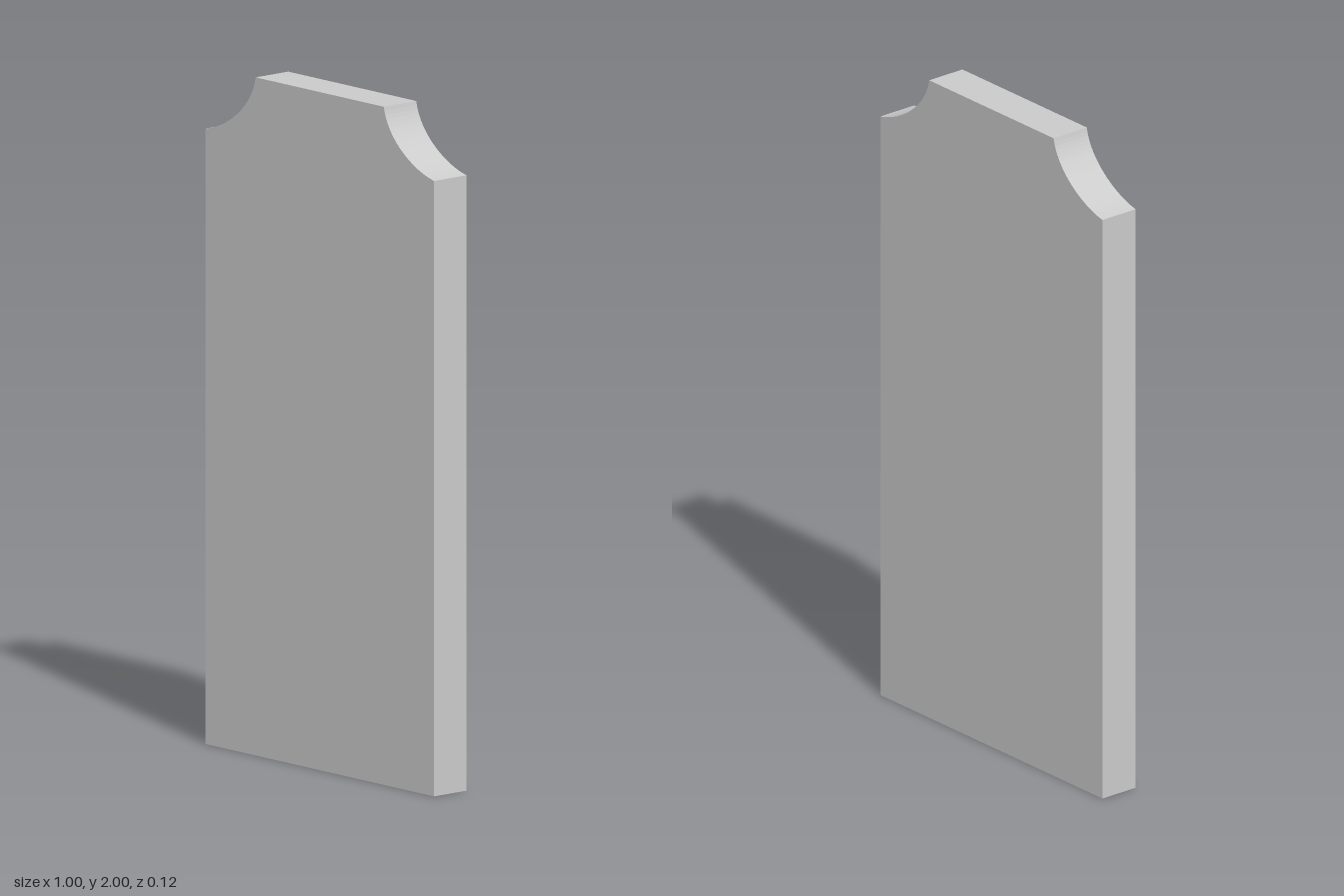
import * as THREE from 'three';

export function createModel() {
  const halfWidth = 0.5, halfTop = 0.28, height = 2, shoulder = 1.815, depth = 0.125;

  // Slab outline with a concave scoop cut from each top corner
  const outline = new THREE.Shape();
  outline.moveTo(-halfWidth, 0);
  outline.lineTo(halfWidth, 0);
  outline.lineTo(halfWidth, shoulder);
  outline.bezierCurveTo(0.41, 1.832, 0.297, 1.905, halfTop, height);
  outline.lineTo(-halfTop, height);
  outline.bezierCurveTo(-0.297, 1.905, -0.41, 1.832, -halfWidth, shoulder);
  outline.closePath();

  const geometry = new THREE.ExtrudeGeometry(outline, {
    depth, bevelEnabled: false, curveSegments: 24,
  });
  geometry.translate(0, 0, -depth / 2);

  const slab = new THREE.Mesh(geometry, new THREE.MeshStandardMaterial({ color: 0xcccccc }));
  slab.name = 'slab';

  const group = new THREE.Group();
  group.name = 'scoopedCornerPanel';
  group.add(slab);
  return group;
}
